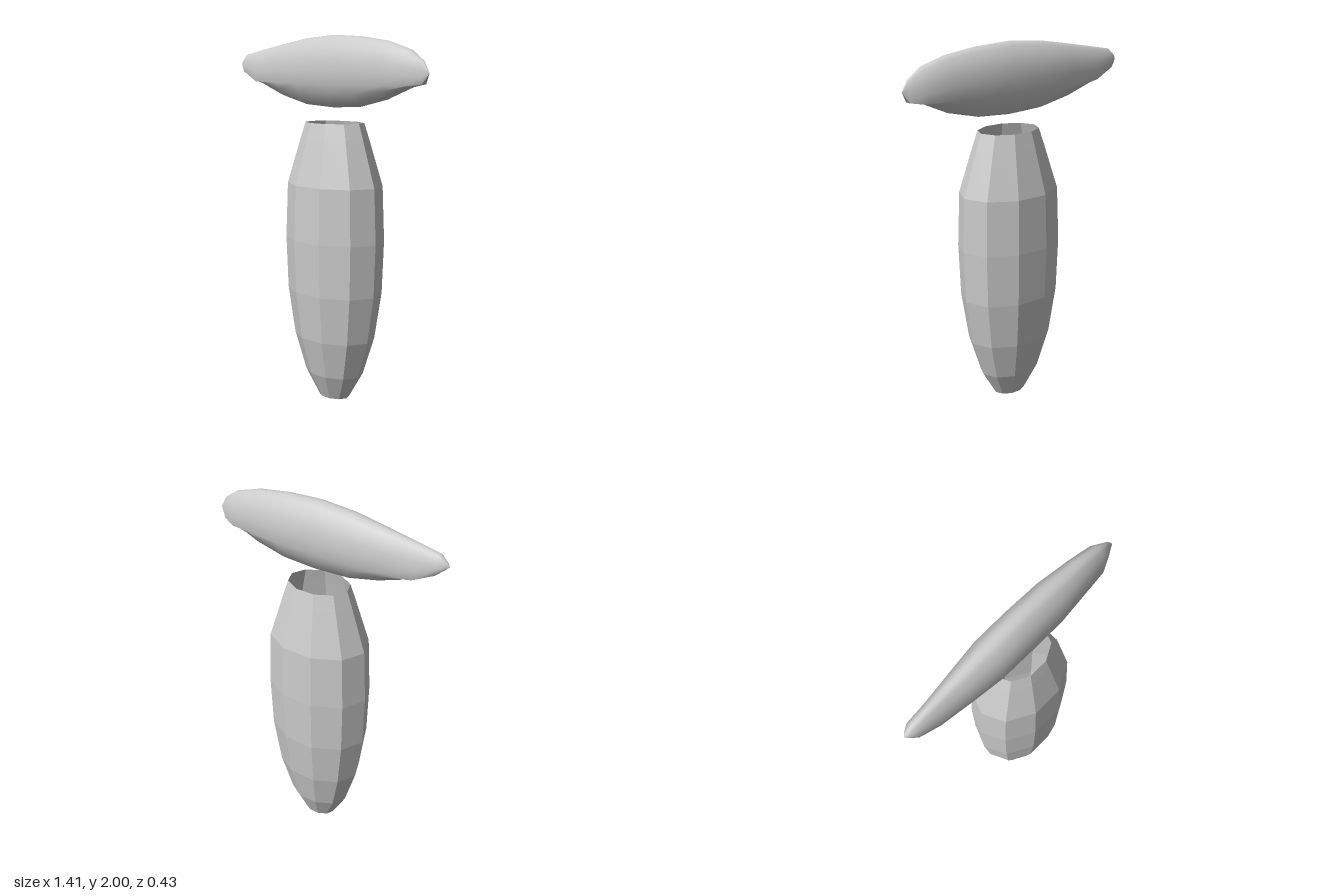
import * as THREE from 'three';

const CENTER_X = 0.055;

// Skin a list of equal-length closed rings of [x, y, z] points.
function skin(rings) {
  const n = rings[0].length;
  const index = [];
  for (let i = 0; i < rings.length - 1; i++) {
    for (let j = 0; j < n; j++) {
      const a = i * n + j, b = i * n + (j + 1) % n;
      index.push(a, b, a + n, b, b + n, a + n);
    }
  }
  const geometry = new THREE.BufferGeometry();
  geometry.setAttribute('position', new THREE.Float32BufferAttribute(rings.flat(2), 3));
  geometry.setIndex(index);
  geometry.computeVertexNormals();
  return geometry;
}

// Faceted, open-ended ten-sided stem, flattened front to back.
function createStem() {
  const profile = [
    [0.095, 0], [0.18, 0.14], [0.25, 0.35], [0.293, 0.61],
    [0.305, 0.9], [0.293, 1.2], [0.21, 1.45], [0.18, 1.535],
  ].map(([r, y]) => new THREE.Vector2(r, y));
  // Turn a corner of the decagon towards +x before flattening.
  const geometry = new THREE.LatheGeometry(profile, 10, Math.PI / 2);
  geometry.scale(1, 1, 0.74);
  geometry.translate(CENTER_X, 0, 0);
  const material = new THREE.MeshStandardMaterial({
    color: 0xcccccc, flatShading: true, side: THREE.DoubleSide,
  });
  const stem = new THREE.Mesh(geometry, material);
  stem.name = 'stem';
  return stem;
}

// Smooth, slim cap floating above the stem, with a soft ridge low on its sides.
function createCap() {
  // Stations along x: [x, top, bottom, half width].
  const stations = [
    [-0.705, 1.845, 1.845, 0], [-0.69, 1.865, 1.832, 0.017], [-0.65, 1.9, 1.8, 0.04],
    [-0.53, 1.922, 1.745, 0.055], [-0.33, 1.957, 1.665, 0.08], [-0.16, 1.985, 1.626, 0.099],
    [0.05, 2.0, 1.615, 0.1], [0.25, 1.99, 1.626, 0.098], [0.44, 1.965, 1.67, 0.077],
    [0.585, 1.922, 1.733, 0.061], [0.67, 1.865, 1.75, 0.019], [0.705, 1.805, 1.805, 0],
  ];
  // Side profile: [height fraction, width fraction] above and below the ridge.
  const upper = [[1, 0], [0.98, 0.23], [0.92, 0.45], [0.75, 0.75], [0.55, 0.93], [0.3, 1], [0, 0.95]];
  const lower = [[0.42, 0.7], [0.85, 0.42], [1, 0]];
  const rings = stations.map(([x, top, bottom, w]) => {
    const ridge = Math.max(1.74, bottom);
    const side = [
      ...upper.map(([u, s]) => [x, ridge + (top - ridge) * u, w * s]),
      ...lower.map(([v, s]) => [x, ridge + (bottom - ridge) * v, w * s]),
    ];
    const mirrored = side.slice(1, -1).reverse().map(([px, y, z]) => [px, y, -z]);
    return [...side, ...mirrored];
  });
  const cap = new THREE.Mesh(skin(rings), new THREE.MeshStandardMaterial({
    color: 0xcccccc, side: THREE.DoubleSide,
  }));
  cap.name = 'cap';
  return cap;
}

export function createModel() {
  const model = new THREE.Group();
  model.name = 'cappedStem';
  model.add(createStem(), createCap());
  return model;
}
